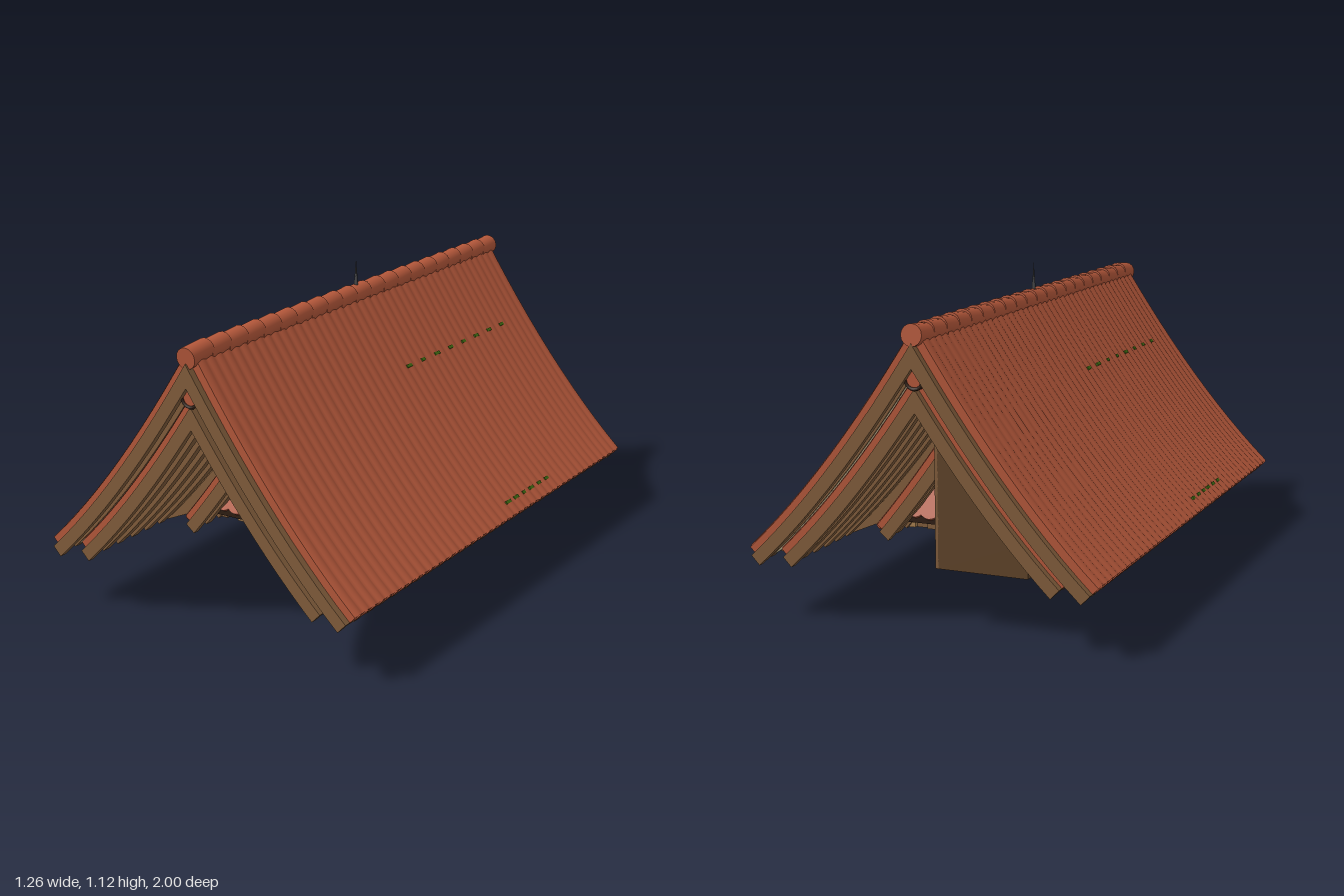
import * as THREE from 'three';
import { mergeGeometries } from 'three/addons/utils/BufferGeometryUtils.js';

const mat = (name, color, side = THREE.FrontSide) => {
  const m = new THREE.MeshStandardMaterial({ color, side });
  m.name = name;
  return m;
};

export function createModel() {
  const root = new THREE.Group();
  root.name = 'layeredTileRoof';
  const tile = mat('terracotta', 0xb3573a, THREE.DoubleSide);
  const wood = mat('wood', 0x805c3b);
  const darkWood = mat('darkWood', 0x5f4329, THREE.DoubleSide);
  const paleWood = mat('paleWood', 0xa87f50);
  const plaster = mat('plaster', 0xa29778);
  const shadowWood = mat('blackenedWood', 0x2e1d13);
  const leafDark = mat('darkLeaf', 0x203806, THREE.DoubleSide);
  const leafLight = mat('lightLeaf', 0x3f6a12, THREE.DoubleSide);
  const metal = mat('iron', 0x4a4a4c);

  const add = (parent, name, geo, material, x = 0, y = 0, z = 0) => {
    const m = new THREE.Mesh(geo, material);
    m.name = name;
    m.position.set(x, y, z);
    parent.add(m);
    return m;
  };
  const box = (parent, name, material, w, h, d, x, y, z) =>
    add(parent, name, new THREE.BoxGeometry(w, h, d), material, x, y, z);
  let seed = 7;
  const rnd = () => (seed = (seed * 16807) % 2147483647) / 2147483647;

  // Sagging roof slope: point at t (0 ridge, 1 eave), pushed inward by o
  const slope = (r, t, o = 0) => {
    const a = r.w, b = r.h * (1 + r.k - 2 * r.k * t), l = Math.hypot(a, b);
    const y = r.top - r.h * (t + r.k * t * (1 - t));
    if (t === 0) return [0, y - o * l / a];
    return [a * t - o * b / l, y - o * a / l];
  };
  const line = (r, o, n = 12) => {
    const pts = [];
    for (let i = 0; i <= n; i++) {
      const p = slope(r, i / n, o);
      if (i === 0 || p[0] > 0.008) pts.push(p);
    }
    return pts;
  };
  // Full inverted V between two lines, extruded along z
  const band = (upper, lower, z0, z1) => {
    const full = a => [...a.slice(1).reverse().map(([x, y]) => [-x, y]), ...a];
    const pts = [...full(upper), ...full(lower).reverse()].map(p => new THREE.Vector2(...p));
    const g = new THREE.ExtrudeGeometry(new THREE.Shape(pts), { depth: z1 - z0, bevelEnabled: false });
    g.translate(0, 0, z0);
    return g;
  };
  // Corrugated tile surface for one side
  const corrugated = (r, side, len, waves) => {
    const g = new THREE.PlaneGeometry(1, 1, 12, waves * 6);
    const p = g.attributes.position;
    for (let i = 0; i < p.count; i++) {
      const t = p.getX(i) + 0.5, v = p.getY(i) + 0.5;
      const bump = 0.001 + 0.006 * Math.abs(Math.sin(v * waves * Math.PI));
      const [x, y] = slope(r, Math.max(t, 0.001), -bump);
      p.setXYZ(i, side * x, y, -side * (v - 0.5) * len);
    }
    g.computeVertexNormals();
    return g;
  };

  const roof = (name, r) => {
    const g = new THREE.Group();
    g.name = name;
    root.add(g);
    const L = r.half, e = L - 0.025;
    add(g, 'tileBed', band(line(r, 0), line(r, 0.03), -e, e), tile);
    add(g, 'sheathing', band(line(r, 0.03), line(r, 0.045), -e, e), darkWood);
    for (const s of [-1, 1]) {
      add(g, 'tileSlope', corrugated(r, s, 2 * e, r.waves), tile);
      add(g, 'bargeBoard', band(line(r, 0.028), line(r, 0.072), s > 0 ? e : -L, s > 0 ? L : -e), wood);
    }
    // Rafters beneath the sheathing
    const rafter = band(line(r, 0.045, 8), line(r, 0.063, 8), -0.016, 0.016);
    const n = Math.round(2 * e / 0.075);
    for (let i = 1; i < n; i++) add(g, 'rafter', rafter, wood, 0, 0, -e + 2 * e * i / n);
    // Rounded tile ends along the eaves
    const ends = [];
    const [ex, ey] = slope(r, 0.975, 0.008);
    for (const s of [-1, 1]) for (let i = 0; i < r.waves; i++) {
      const c = new THREE.CylinderGeometry(0.013, 0.013, 0.05, 8);
      c.rotateZ(s * 0.83);
      c.translate(s * ex, ey, -e + 2 * e * (i + 0.5) / r.waves);
      ends.push(c);
    }
    add(g, 'eaveTileEnds', mergeGeometries(ends), tile);
    return g;
  };

  const main = { top: 1.02, w: 0.625, h: 0.785, k: 0.25, half: 1, waves: 44 };
  const middle = { top: 0.87, w: 0.515, h: 0.635, k: 0.22, half: 0.98, waves: 43 };
  const inner = { top: 0.72, w: 0.35, h: 0.475, k: 0.12, half: 0.61, waves: 26 };
  const mainRoof = roof('mainRoof', main);
  const middleRoof = roof('middleRoof', middle);
  const innerRoof = roof('innerRoof', inner);

  // Overlapping ridge tiles
  for (let i = 0; i < 21; i++) {
    const c = new THREE.CylinderGeometry(0.037, 0.037, 0.106, 16);
    c.rotateX(Math.PI / 2);
    add(mainRoof, 'ridgeTile', c, tile, 0, 0.989, -0.943 + i * 0.0943).rotation.x = 0.09;
  }
  for (const [g, r] of [[middleRoof, middle], [innerRoof, inner]]) {
    const c = new THREE.CylinderGeometry(0.037, 0.037, r.half * 2, 16);
    c.rotateX(Math.PI / 2);
    add(g, 'ridgeRoll', c, tile, 0, r.top - 0.02, 0);
    for (const s of [-1, 1]) add(g, 'ridgeEndRing', new THREE.TorusGeometry(0.032, 0.006, 6, 16), shadowWood, 0, r.top - 0.02, s * r.half);
  }

  // Finial
  add(root, 'finial', new THREE.ConeGeometry(0.008, 0.1, 8), metal, 0, 1.072, 0);

  // Gable infill between the nested roofs, with small timber blocks
  for (const s of [-1, 1]) {
    const z = s * 0.9;
    add(root, 'plasterInfill', band(line(main, 0.06), line(middle, 0.0), z - 0.01, z + 0.01), plaster);
    add(root, 'timberInfill', band(line(middle, 0.06), line(inner, 0.0), s * 0.53 - 0.01, s * 0.53 + 0.01), wood);
    for (const side of [-1, 1]) for (let i = 1; i < 9; i++) {
      const [x, y] = slope(main, i / 9.5, 0.082);
      box(root, 'infillBlock', i % 3 ? wood : tile, 0.035, 0.024, 0.02, side * x, y, z + s * 0.01).rotation.z = side * -0.85;
    }
  }

  // Hipped ends with a scalloped lower edge and a small gable
  for (const s of [-1, 1]) {
    const hip = new THREE.Shape();
    hip.moveTo(0, 0.44);
    hip.lineTo(-0.28, 0.03);
    for (let i = 0; i < 9; i++) {
      const x = -0.28 + i * 0.56 / 9;
      hip.quadraticCurveTo(x + 0.031, -0.012, x + 0.0622, 0.014);
    }
    const hg = new THREE.ExtrudeGeometry(hip, { depth: 0.015, bevelEnabled: false });
    const hipGroup = new THREE.Group();
    hipGroup.name = 'hippedEnd';
    hipGroup.rotation.y = s > 0 ? 0 : Math.PI;
    root.add(hipGroup);
    add(hipGroup, 'hipTiles', hg, tile, 0, 0.255, 0.5).rotation.x = -0.5;
    box(hipGroup, 'hipEaveBoard', shadowWood, 0.62, 0.025, 0.02, 0, 0.255, 0.49);
    const small = { top: 0.575, w: 0.095, h: 0.165, k: 0.1 };
    add(hipGroup, 'smallGableTiles', band(line(small, 0), line(small, 0.016), 0.3, 0.53), tile);
    add(hipGroup, 'smallGableBoard', band(line(small, 0.016), line(small, 0.046), 0.5, 0.535), wood);
    const roll = new THREE.CylinderGeometry(0.03, 0.03, 0.24, 12);
    roll.rotateX(Math.PI / 2);
    add(hipGroup, 'smallRidge', roll, tile, 0, 0.535, 0.41);
    box(hipGroup, 'gablePost', shadowWood, 0.025, 0.09, 0.02, 0, 0.575, 0.52);
    add(hipGroup, 'ridgeMouth', new THREE.CircleGeometry(0.024, 12), shadowWood, 0, 0.535, 0.537);
  }

  // Timber base frame with block ends and inner cross beams
  const frame = new THREE.Group();
  frame.name = 'baseFrame';
  root.add(frame);
  for (const s of [-1, 1]) {
    box(frame, 'frameBeam', wood, 0.66, 0.034, 0.05, 0, 0.223, s * 0.4);
    box(frame, 'frameBeam', wood, 0.05, 0.034, 0.8, s * 0.3, 0.223, 0);
    box(frame, 'innerBeam', darkWood, 0.56, 0.03, 0.035, 0, 0.225, s * 0.2);
    box(frame, 'innerBeam', darkWood, 0.035, 0.03, 0.76, s * 0.16, 0.235, 0);
    for (let i = 0; i < 8; i++) {
      const x = -0.29 + i * 0.083;
      box(frame, 'frameBlock', i % 2 ? paleWood : wood, 0.036, 0.03, 0.06, x, 0.222, s * 0.41);
      box(frame, 'frameBlock', paleWood, 0.06, 0.03, 0.036, s * 0.3, 0.222, x * 1.2);
    }
    // Short sloping boards below the frame
    box(frame, 'lowBoard', wood, 0.042, 0.1, 0.23, s * 0.245, 0.197, 0.065).rotation.z = s * 0.75;
  }
  box(frame, 'hangingBeam', darkWood, 0.04, 0.03, 0.8, 0, 0.23, 0);

  // Boarded attic compartment toward the back
  const attic = new THREE.Shape([[-0.02, 0.2], [-0.02, 0.64], [-0.09, 0.64], [-0.34, 0.32], [-0.34, 0.2]]
    .map(p => new THREE.Vector2(...p)));
  add(root, 'atticBox', new THREE.ExtrudeGeometry(attic, { depth: 0.24, bevelEnabled: false }), darkWood, 0, 0, -0.86);
  for (const z of [-0.85, -0.74, -0.63]) box(root, 'atticPost', wood, 0.012, 0.44, 0.02, -0.016, 0.42, z);

  // Hanging vine: bushy top and trailing strands
  const leaves = [[], []];
  const leaf = (x, y, z, r) => {
    const g = new THREE.CircleGeometry(r, 4);
    g.scale(0.75, 1.1, 1);
    g.rotateX((rnd() - 0.5) * 1.6);
    g.rotateY((rnd() - 0.5) * 2);
    g.rotateZ(rnd() * 3);
    g.translate(x, y, z);
    leaves[rnd() < 0.2 ? 1 : 0].push(g);
  };
  for (let i = 0; i < 170; i++) {
    const u = rnd();
    leaf(-0.09 + u * 0.18, 0.21 - rnd() * (0.12 - Math.abs(u - 0.5) * 0.08), (rnd() - 0.5) * 0.07, 0.022);
  }
  for (let i = 0; i < 26; i++) leaf(-0.18 + rnd() * 0.12, 0.205 - rnd() * 0.05, (rnd() - 0.5) * 0.04, 0.015);
  [[-0.09, 0.03], [-0.055, 0.06], [-0.02, 0.013], [0.02, 0.013], [0.05, 0.05], [0.08, 0.09], [-0.18, 0.15]].forEach(([x, low]) => {
    for (let y = low; y < 0.18; y += 0.017) leaf(x + (rnd() - 0.5) * 0.018, y, (rnd() - 0.5) * 0.025, 0.012);
  });
  add(root, 'vineLeavesDark', mergeGeometries(leaves[0]), leafDark);
  add(root, 'vineLeavesLight', mergeGeometries(leaves[1]), leafLight);

  // Moss flecks on the slopes
  for (const s of [-1, 1]) for (let i = 0; i < 14; i++) {
    const [x, y] = slope(main, i < 8 ? 0.31 : 0.94, -0.005);
    const z = i < 8 ? -0.05 - i * 0.1 : -0.1 - (i - 8) * 0.06;
    box(root, 'moss', leafLight, 0.012, 0.007, 0.02 + rnd() * 0.015, s * x, y, s * z).rotation.z = -s * 0.9;
  }
  return root;
}
